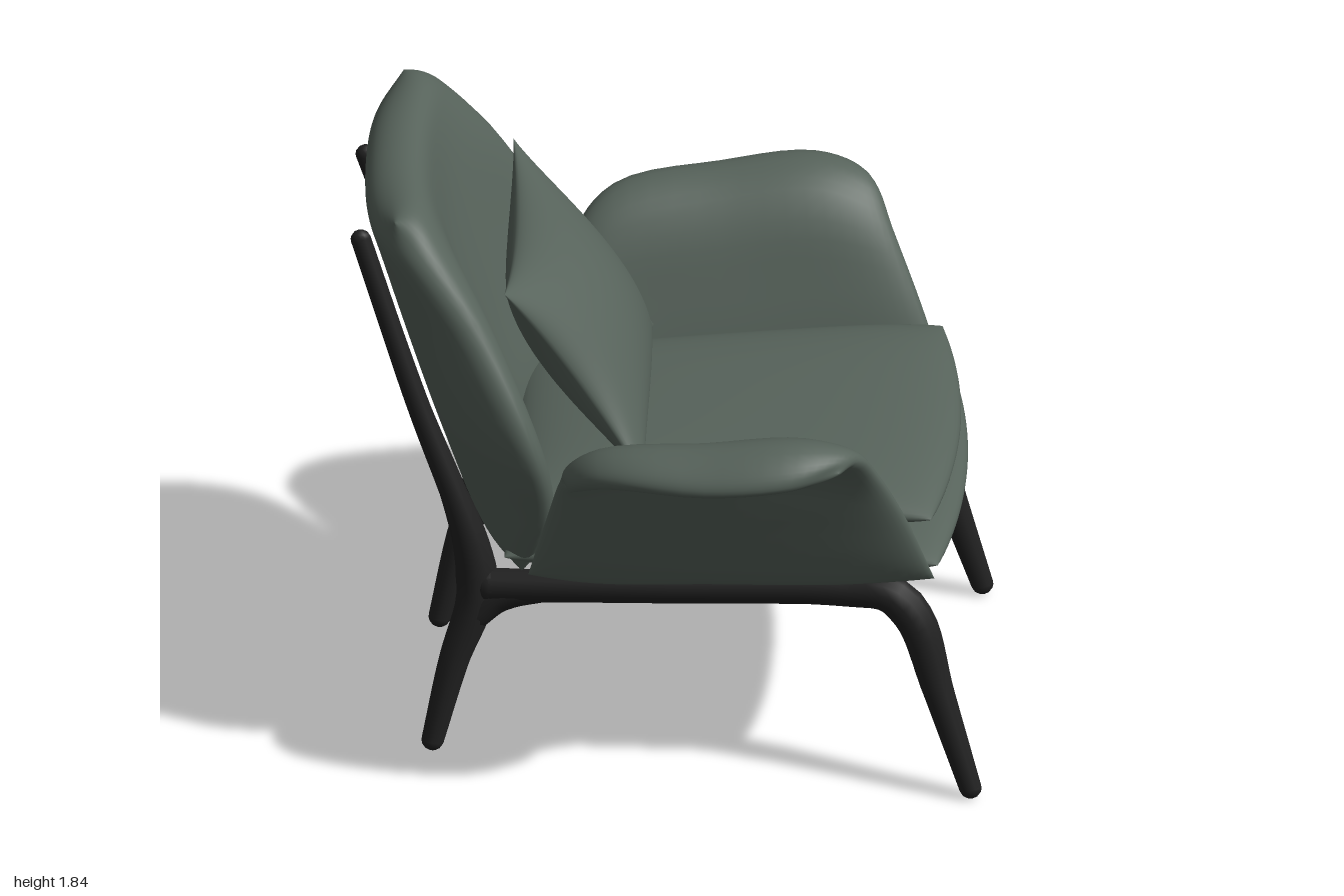
import * as THREE from 'three';
import { mergeVertices } from 'three/addons/utils/BufferGeometryUtils.js';

const fabric = new THREE.MeshStandardMaterial({ color: 0x57635b });
fabric.name = 'grey green fabric';
const wood = new THREE.MeshStandardMaterial({ color: 0x212121 });
wood.name = 'black wood';

const V = (x, y, z) => new THREE.Vector3(x, y, z);
const spline = (pts) => new THREE.CatmullRomCurve3(pts.map((p) => V(...p)));
const clamp = (t) => Math.min(1, Math.max(-1, t));

// Closed padded shape: a mid surface P(u, v), u and v in -1..1, thickened on both
// sides by `half`, falling off to a rounded rim (larger `n` = fuller rim).
function pad(name, P, half, n = 6, pow = 0.5, segs = 36) {
  const pos = [], idx = [], row = segs + 1, e = 0.01;
  const at = (i) => (i === 0 ? -1 : i === segs ? 1 : Math.sin(Math.PI * (i / segs - 0.5)));
  for (const side of [1, -1]) {
    const base = pos.length / 3;
    for (let i = 0; i <= segs; i++) {
      for (let j = 0; j <= segs; j++) {
        const u = at(i), v = at(j);
        const du = P(clamp(u + e), v).sub(P(clamp(u - e), v));
        const dv = P(u, clamp(v + e)).sub(P(u, clamp(v - e)));
        const t = half * Math.pow((1 - Math.abs(u) ** n) * (1 - Math.abs(v) ** n), pow);
        const p = P(u, v).addScaledVector(du.cross(dv).normalize(), side * t);
        pos.push(p.x, p.y, p.z);
        if (i < segs && j < segs) {
          const a = base + i * row + j, b = a + row, c = b + 1, d = a + 1;
          if (side > 0) idx.push(a, b, c, a, c, d);
          else idx.push(a, c, b, a, d, c);
        }
      }
    }
  }
  let geo = new THREE.BufferGeometry();
  geo.setAttribute('position', new THREE.Float32BufferAttribute(pos, 3));
  geo.setIndex(idx);
  geo = mergeVertices(geo, 1e-5);
  geo.computeVertexNormals();
  const mesh = new THREE.Mesh(geo, fabric);
  mesh.name = name;
  return mesh;
}

// Tapered wooden limb along a path, with rounded ends and a flattened section.
function limb(name, pts, radii, flat = 0.75) {
  const group = new THREE.Group();
  group.name = name;
  const curve = spline(pts), n = 48;
  const radius = (t) => {
    const k = t * (radii.length - 1), i = Math.min(Math.floor(k), radii.length - 2);
    return THREE.MathUtils.lerp(radii[i], radii[i + 1], k - i);
  };
  const geo = new THREE.TubeGeometry(curve, n, 1, 12);
  const p = geo.attributes.position, q = V(0, 0, 0);
  for (let k = 0; k < p.count; k++) {
    const t = Math.floor(k / 13) / n, c = curve.getPointAt(t);
    q.fromBufferAttribute(p, k).sub(c).multiplyScalar(radius(t));
    q.x *= flat;
    q.add(c);
    p.setXYZ(k, q.x, q.y, q.z);
  }
  group.add(new THREE.Mesh(geo, wood));
  for (const t of [0, 1]) {
    const cap = new THREE.Mesh(new THREE.SphereGeometry(radius(t), 12, 8), wood);
    cap.scale.x = flat;
    cap.position.copy(curve.getPointAt(t));
    group.add(cap);
  }
  group.children.forEach((m) => { m.name = name + 'Piece'; });
  return group;
}

export function createModel() {
  const chair = new THREE.Group();
  chair.name = 'armchair';

  // Backrest: wide in the middle, wrapping forward at the sides
  const rim = spline([[0.42, 0.64, -0.55], [0.57, 0.91, -0.47], [0.69, 1.2, -0.51],
    [0.61, 1.52, -0.66], [0.52, 1.74, -0.84], [0.45, 1.82, -0.92]]);
  const spine = spline([[0, 0.64, -0.59], [0, 0.91, -0.67], [0, 1.2, -0.76],
    [0, 1.52, -0.86], [0, 1.74, -0.92], [0, 1.835, -0.95]]);
  chair.add(pad('backrest', (u, v) => {
    const r = rim.getPoint((v + 1) / 2), c = spine.getPoint((v + 1) / 2);
    const k = Math.abs(u) ** 2.4;
    return V(u * r.x, c.y + (r.y - c.y) * k, c.z + (r.z - c.z) * k);
  }, 0.1));

  // Seat shell and loose cushion: tapering to the back, front edge bowed out
  const slab = (w0, w1, z0, z1, y0, y1, crown) => (u, v) => {
    const t = (v + 1) / 2;
    return V(u * (w0 + (w1 - w0) * t),
      y0 + (y1 - y0) * t + crown * (1 - u * u) * (1 - v * v),
      z0 + (z1 - z0 - 0.07 * u * u) * t);
  };
  chair.add(pad('seatShell', slab(0.45, 0.6, -0.6, 0.74, 0.7, 0.78, -0.01), 0.075));
  chair.add(pad('seatCushion', slab(0.43, 0.57, -0.58, 0.72, 0.87, 0.915, 0.025), 0.08, 5));

  // Throw pillow: pointed corners, hollow edges, leaning on the backrest
  chair.add(pad('pillow', (u, v) => {
    const h = v * (1 - 0.12 * (1 - u * u));
    return V(0.46 * u * (1 - 0.15 * (1 - v * v)), 1.28 + 0.31 * h, -0.395 - 0.205 * h);
  }, 0.15, 2, 0.6));

  // Armrest sections from back to front, each running from the seat to the rolled lip
  const sections = [
    [[0.46, 0.65, -0.53], [0.57, 0.88, -0.48], [0.66, 1.05, -0.44], [0.71, 1.11, -0.42], [0.76, 1.1, -0.4]],
    [[0.5, 0.65, -0.32], [0.61, 0.93, -0.31], [0.7, 1.14, -0.3], [0.78, 1.21, -0.29], [0.87, 1.18, -0.28]],
    [[0.53, 0.67, 0], [0.63, 0.97, 0], [0.73, 1.19, 0], [0.83, 1.25, 0], [0.95, 1.2, 0]],
    [[0.56, 0.69, 0.36], [0.65, 1, 0.31], [0.74, 1.22, 0.28], [0.85, 1.28, 0.26], [0.96, 1.23, 0.24]],
    [[0.59, 0.73, 0.66], [0.65, 0.96, 0.58], [0.73, 1.15, 0.5], [0.81, 1.25, 0.45], [0.89, 1.25, 0.39]],
  ].map(spline);

  for (const [side, s] of [['left', 1], ['right', -1]]) {
    chair.add(pad(side + 'Armrest', (u, v) => {
      const along = new THREE.CatmullRomCurve3(sections.map((c) => c.getPoint((v + 1) / 2)));
      const p = along.getPoint((u + 1) / 2);
      p.x *= s;
      return p;
    }, 0.045, 6, 0.5, 28));

    // Front leg bending into the side rail
    const flip = (pts) => pts.map(([x, y, z]) => [x * s, y, z]);
    chair.add(limb(side + 'FrontLegAndRail', flip([[0.6, 0.033, 0.765], [0.58, 0.35, 0.67],
      [0.568, 0.58, 0.602], [0.555, 0.655, 0.53], [0.53, 0.655, 0.4], [0.45, 0.605, -0.1],
      [0.36, 0.555, -0.64]]), [0.033, 0.045, 0.062, 0.05, 0.048, 0.05, 0.055]));

    // Back leg rising into the post behind the backrest
    chair.add(limb(side + 'BackLegAndPost', flip([[0.362, 0.033, -0.812], [0.356, 0.3, -0.75],
      [0.35, 0.52, -0.685], [0.34, 0.68, -0.7], [0.3, 1.15, -0.865], [0.25, 1.65, -1.025]]),
    [0.033, 0.045, 0.062, 0.04, 0.034, 0.031, 0.03]));

    // Curved brace in the angle of rail and back leg
    chair.add(limb(side + 'Brace', flip([[0.355, 0.45, -0.69], [0.365, 0.525, -0.61],
      [0.385, 0.56, -0.48]]), [0.045, 0.05, 0.04]));
  }

  // Cross bars under the seat
  for (const [name, w, y, z] of [['frontCrossBar', 0.52, 0.645, 0.34], ['rearCrossBar', 0.4, 0.575, -0.42]]) {
    const bar = new THREE.Mesh(new THREE.CylinderGeometry(0.03, 0.03, 2 * w, 12), wood);
    bar.name = name;
    bar.rotation.z = Math.PI / 2;
    bar.position.set(0, y, z);
    chair.add(bar);
  }

  // The chair stands turned towards its front left corner
  chair.rotation.y = Math.PI / 4;
  const model = new THREE.Group();
  model.name = 'armchairModel';
  model.add(chair);
  return model;
}
